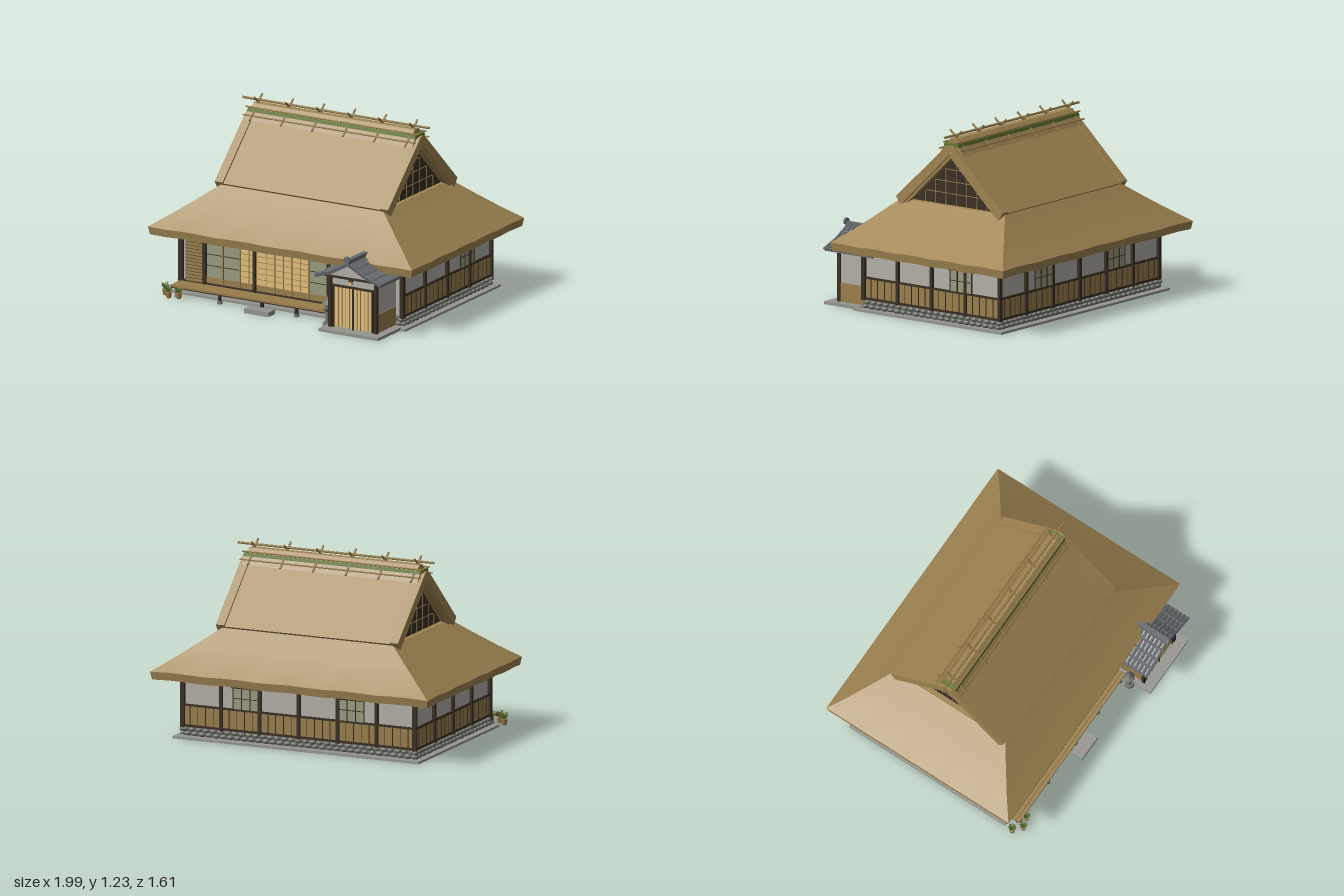
import * as THREE from 'three';
import { mergeGeometries, toCreasedNormals } from 'three/addons/utils/BufferGeometryUtils.js';

const mat = (name, color) => Object.assign(new THREE.MeshStandardMaterial({ color }), { name });

export function createModel() {
  const M = {
    thatch: mat('thatch', 0xa08552), dark: mat('dark timber', 0x3a2f24), wood: mat('wood', 0x9a7f4c),
    plaster: mat('plaster', 0xb4b0a8), paper: mat('pale wood and paper', 0xe2c07c), glass: mat('green glass', 0x9b9c80),
    tile: mat('roof tile', 0x686c70), stone: mat('stone', 0x72746c), slab: mat('paving', 0x96958f), moss: mat('moss', 0x647a30),
  };
  const model = new THREE.Group();
  model.name = 'farmhouse';
  const CZ = -0.09; // ridge line and house centre in z

  const group = (name) => {
    const g = new THREE.Group();
    g.name = name;
    model.add(g);
    return g;
  };
  const add = (g, name, m, geo) => {
    const mesh = new THREE.Mesh(geo, m);
    mesh.name = name;
    g.add(mesh);
    return mesh;
  };
  const box = (g, name, m, x0, x1, y0, y1, z0, z1) =>
    add(g, name, m, new THREE.BoxGeometry(x1 - x0, y1 - y0, z1 - z0)
      .translate((x0 + x1) / 2, (y0 + y1) / 2, (z0 + z1) / 2));
  const rod = (g, name, m, a, b, r, sides = 6) => {
    const p = new THREE.Vector3(...a), q = new THREE.Vector3(...b);
    const mesh = add(g, name, m, new THREE.CylinderGeometry(r, r, p.distanceTo(q), sides));
    mesh.position.copy(p).add(q).multiplyScalar(0.5);
    mesh.quaternion.setFromUnitVectors(new THREE.Vector3(0, 1, 0), q.sub(p).normalize());
    return mesh;
  };
  const shape = (pts) => new THREE.Shape(pts.map(([a, b]) => new THREE.Vector2(a, b)));
  // Section given as [z from ridge, y], swept along x
  const prism = (g, name, m, pts, x0, x1) =>
    add(g, name, m, new THREE.ExtrudeGeometry(shape(pts), { depth: x1 - x0, bevelEnabled: false })
      .rotateY(-Math.PI / 2).translate(x1, 0, CZ));

  // Paving and field-stone footing
  const base = group('base');
  box(base, 'house slab', M.slab, -0.885, 0.885, 0, 0.015, -0.7, 0.52);
  box(base, 'porch slab', M.slab, 0.395, 0.845, 0, 0.02, 0.5, 0.795);
  box(base, 'step stone', M.slab, -0.235, -0.05, 0, 0.03, 0.6, 0.685);
  box(base, 'footing', M.stone, -0.83, 0.83, 0.01, 0.08, -0.64, 0.46);
  const stones = [];
  const hash = (n) => Math.abs(Math.sin(n * 12.99) * 437.5) % 1;
  const stone = (x, y, z, alongX) => {
    const k = 0.85 + 0.25 * hash(stones.length + 1);
    stones.push(new THREE.IcosahedronGeometry(1, 1)
      .scale(alongX ? 0.025 * k : 0.018, 0.016 * k, alongX ? 0.018 : 0.025 * k).translate(x, y, z));
  };
  for (const row of [0, 1]) {
    const y = 0.032 + row * 0.028;
    for (let i = 0; i <= 32; i++) for (const z of [-0.645, 0.465]) stone(-0.83 + i * 0.051 + row * 0.02, y, z, true);
    for (let i = 0; i <= 21; i++) for (const x of [-0.84, 0.84]) stone(x, y, -0.635 + i * 0.052 - row * 0.012, false);
  }
  add(base, 'footing stones', M.stone, toCreasedNormals(mergeGeometries(stones), 0.8));

  // Walls: plaster core with boarded lower part, posts and rails
  const walls = group('walls');
  box(walls, 'plaster walls', M.plaster, -0.83, 0.83, 0.08, 0.45, -0.64, 0.46);
  for (const s of [-1, 1]) {
    const X = (a, b) => (s > 0 ? [a, b] : [-b, -a]);
    box(walls, 'side boards', M.wood, ...X(0.828, 0.836), 0.085, 0.22, -0.64, 0.46);
    for (const [y0, y1] of [[0.075, 0.09], [0.213, 0.226], [0.4, 0.42]])
      box(walls, 'side rail', M.dark, ...X(0.83, 0.843), y0, y1, -0.64, 0.46);
    for (let i = 0; i < 5; i++) box(walls, 'side post', M.dark, ...X(0.82, 0.85), 0.07, 0.45, -0.66 + i * 0.28, -0.64 + i * 0.28);
    for (let i = 1; i < 20; i++) box(walls, 'side batten', M.dark, ...X(0.83, 0.84), 0.085, 0.22, -0.652 + i * 0.056, -0.648 + i * 0.056);
  }
  box(walls, 'back boards', M.wood, -0.83, 0.83, 0.085, 0.22, -0.646, -0.638);
  for (const [y0, y1] of [[0.075, 0.09], [0.213, 0.226], [0.4, 0.42]])
    box(walls, 'back rail', M.dark, -0.83, 0.83, y0, y1, -0.653, -0.64);
  for (let i = 1; i < 6; i++) box(walls, 'back post', M.dark, -0.851 + i * 0.28, -0.829 + i * 0.28, 0.07, 0.45, -0.66, -0.63);
  for (let i = 1; i < 30; i++) box(walls, 'back batten', M.dark, -0.842 + i * 0.056, -0.838 + i * 0.056, 0.085, 0.22, -0.65, -0.64);

  // Latticed windows, built facing +z and turned into place
  for (const [x, z, turn] of [[0.38, -0.646, Math.PI], [-0.38, -0.646, Math.PI], [0.836, -0.335, Math.PI / 2]]) {
    const w = group('window');
    box(w, 'pane', M.glass, -0.09, 0.09, 0.226, 0.37, 0, 0.006);
    for (let i = 0; i < 4; i++) box(w, 'bar', M.dark, -0.092 + i * 0.06, -0.088 + i * 0.06, 0.226, 0.37, 0.004, 0.014);
    box(w, 'cross bar', M.dark, -0.09, 0.09, 0.296, 0.3, 0.004, 0.012);
    box(w, 'lintel', M.dark, -0.1, 0.1, 0.366, 0.378, 0, 0.02);
    w.position.set(x, 0, z);
    w.rotation.y = turn;
  }

  // Front: sliding screens, glass doors and shutter
  const front = group('front screens');
  box(front, 'transom', M.glass, -0.82, 0.42, 0.38, 0.43, 0.458, 0.466);
  box(front, 'lower boards', M.wood, -0.65, 0.42, 0.085, 0.13, 0.458, 0.468);
  for (const [a, b, m] of [[-0.65, -0.39, M.glass], [-0.39, 0.13, M.paper], [0.13, 0.42, M.glass]])
    box(front, 'screen', m, a, b, 0.13, 0.365, 0.458, 0.466);
  box(front, 'head beam', M.dark, -0.84, 0.43, 0.362, 0.378, 0.46, 0.485);
  box(front, 'sill', M.dark, -0.84, 0.43, 0.078, 0.09, 0.46, 0.478);
  for (const x of [-0.84, -0.655, -0.28, 0.28, 0.395, 0.84]) box(front, 'post', M.dark, x - 0.01, x + 0.01, 0.07, 0.44, 0.455, 0.485);
  for (const x of [-0.52, -0.39, -0.13, 0, 0.13]) box(front, 'stile', M.wood, x - 0.004, x + 0.004, 0.09, 0.365, 0.46, 0.474);
  for (const y of [0.21, 0.285]) for (const [a, b] of [[-0.65, -0.39], [0.13, 0.4]])
    box(front, 'glass bar', M.dark, a, b, y - 0.002, y + 0.002, 0.46, 0.47);
  for (let i = 1; i < 6; i++) box(front, 'paper bar', M.wood, -0.39, 0.13, 0.129 + i * 0.039, 0.132 + i * 0.039, 0.46, 0.47);
  for (const x of [-0.325, -0.195, -0.065, 0.065]) box(front, 'paper stile', M.wood, x - 0.0015, x + 0.0015, 0.13, 0.365, 0.46, 0.469);
  box(front, 'shutter back', M.dark, -0.8, -0.665, 0.085, 0.375, 0.458, 0.475);
  for (let i = 0; i < 13; i++) box(front, 'shutter slat', M.wood, -0.795, -0.67, 0.09 + i * 0.022, 0.105 + i * 0.022, 0.47, 0.486);

  // Veranda
  const veranda = group('veranda');
  for (let i = 0; i < 5; i++) box(veranda, 'plank', M.wood, -0.84, 0.4, 0.066, 0.08, 0.472 + i * 0.026, 0.496 + i * 0.026);
  box(veranda, 'edge beam', M.dark, -0.84, 0.4, 0.056, 0.067, 0.575, 0.59);
  for (const x of [-0.8, -0.48, -0.16, 0.1, 0.36]) {
    box(veranda, 'leg', M.dark, x - 0.009, x + 0.009, 0.015, 0.066, 0.57, 0.588);
    add(veranda, 'leg stone', M.stone, new THREE.CylinderGeometry(0.016, 0.02, 0.02, 8)).position.set(x, 0.01, 0.579);
  }

  // Lower hipped thatch: rectangular rings from the underside, round the eave and up
  const roof = group('thatched roof');
  const rings = [[0.8, 0.52, 0.435], [0.988, 0.703, 0.403], [0.997, 0.713, 0.456], [0.87, 0.614, 0.541], [0.74, 0.52, 0.633], [0.615, 0.43, 0.725]];
  const corners = [[1, 1], [1, -1], [-1, -1], [-1, 1]], N = 16, verts = [], index = [], loop = 4 * N;
  rings.forEach(([hx, hz, y], r) => {
    for (let i = 0; i < loop; i++) {
      const a = corners[Math.floor(i / N)], b = corners[(Math.floor(i / N) + 1) % 4], t = (i % N) / N;
      const wave = r > 0 && r < 3 ? 0.003 * Math.sin(i * 1.9) : 0;
      verts.push(hx * (a[0] + (b[0] - a[0]) * t), y + wave, CZ + hz * (a[1] + (b[1] - a[1]) * t));
      const p = r * loop + i, q = r * loop + (i + 1) % loop;
      if (r < rings.length - 1) index.push(p, q, q + loop, p, q + loop, p + loop);
    }
  });
  const skirt = new THREE.BufferGeometry();
  skirt.setAttribute('position', new THREE.Float32BufferAttribute(verts, 3));
  skirt.setIndex(index);
  add(roof, 'hipped skirt', M.thatch, toCreasedNormals(skirt, 0.15));
  box(roof, 'skirt top', M.thatch, -0.612, 0.612, 0.7, 0.724, CZ - 0.427, CZ + 0.427);

  // Upper gabled thatch with thick rolled ends
  for (const s of [-1, 1]) {
    prism(roof, 'upper slope', M.thatch, [[0, 1.06], [0, 1.122], [s * 0.03, 1.115], [s * 0.432, 0.735], [s * 0.39, 0.69]], -0.62, 0.62);
    for (const e of [-1, 1]) {
      const X = (a, b) => (e > 0 ? [a, b] : [-b, -a]);
      prism(roof, 'gable roll', M.thatch, [[0, 1.075], [0, 1.135], [s * 0.03, 1.128], [s * 0.44, 0.745], [s * 0.405, 0.69]], ...X(0.595, 0.655));
      prism(roof, 'gable board', M.wood, [[0, 1.05], [0, 1.08], [s * 0.4, 0.7], [s * 0.37, 0.7]], ...X(0.6, 0.64));
    }
  }
  // Latticed gable walls
  for (const e of [-1, 1]) {
    const X = (a, b) => (e > 0 ? [a, b] : [-b, -a]);
    prism(roof, 'gable wall', M.dark, [[-0.37, 0.71], [0.37, 0.71], [0, 1.075]], ...X(0.56, 0.58));
    for (let i = -3; i <= 3; i++) {
      const z = CZ + i * 0.085;
      box(roof, 'gable bar', M.wood, ...X(0.578, 0.584), 0.72, 1.05 - Math.abs(i) * 0.085, z - 0.002, z + 0.002);
    }
    for (let i = 1; i < 4; i++) {
      const y = 0.72 + i * 0.08, w = 1.05 - y;
      box(roof, 'gable cross bar', M.wood, ...X(0.578, 0.584), y - 0.002, y + 0.002, CZ - w, CZ + w);
    }
  }

  // Ridge: layered cap, moss, poles and crossed timbers
  const ridge = group('ridge');
  prism(ridge, 'ridge cap', M.thatch, [[-0.095, 1.075], [0, 1.11], [0.095, 1.075], [0.058, 1.13], [-0.058, 1.13]], -0.63, 0.63);
  prism(ridge, 'moss band', M.moss, [[-0.062, 1.126], [0.062, 1.126], [0.056, 1.148], [-0.056, 1.148]], -0.635, 0.635);
  prism(ridge, 'ridge top', M.thatch, [[-0.052, 1.148], [0.052, 1.148], [0.024, 1.177], [-0.024, 1.177]], -0.61, 0.61);
  rod(ridge, 'ridge pole', M.wood, [-0.705, 1.197, CZ], [0.705, 1.197, CZ], 0.008);
  for (const s of [-1, 1]) {
    for (const [z, y] of [[0.088, 1.108], [0.052, 1.155]])
      rod(ridge, 'side pole', M.wood, [-0.65, y, CZ + s * z], [0.65, y, CZ + s * z], 0.005);
    for (let i = 0; i < 6; i++) {
      const x = -0.588 + i * 0.2345 + s * 0.002;
      rod(ridge, 'crossed timber', M.wood, [x, 1.225, CZ - s * 0.048], [x, 1.08, CZ + s * 0.112], 0.008, 4);
    }
  }

  // Entrance porch
  const porch = group('porch'), PX = 0.61;
  box(porch, 'porch walls', M.plaster, 0.44, 0.78, 0.02, 0.37, 0.46, 0.71);
  add(porch, 'porch gable', M.plaster, new THREE.ExtrudeGeometry(
    shape([[-0.2, 0.365], [0.2, 0.365], [0, 0.465]]), { depth: 0.33, bevelEnabled: false }).translate(PX, 0, 0.4));
  for (const s of [-1, 1]) {
    const X = (a, b) => (s > 0 ? [PX + a, PX + b] : [PX - b, PX - a]);
    box(porch, 'porch side boards', M.wood, ...X(0.165, 0.176), 0.02, 0.145, 0.47, 0.71);
    box(porch, 'porch post', M.dark, ...X(0.162, 0.184), 0.02, 0.37, 0.705, 0.727);
    // Roof slope with tile ribs
    const slope = [[0, 0.49], [0.12, 0.42], [0.245, 0.375], [0.245, 0.358], [0.12, 0.4], [0, 0.465]];
    add(porch, 'porch roof slope', M.tile, new THREE.ExtrudeGeometry(
      shape(slope.map(([x, y]) => [s * x, y])), { depth: 0.4, bevelEnabled: false }).translate(PX, 0, 0.385));
    for (let i = 0; i < 14; i++) {
      const z = 0.392 + i * 0.03;
      rod(porch, 'tile rib', M.tile, [PX, 0.49, z], [PX + s * 0.122, 0.42, z], 0.009);
      rod(porch, 'tile rib', M.tile, [PX + s * 0.118, 0.421, z], [PX + s * 0.25, 0.373, z], 0.009);
    }
    for (const [x, y] of [[0.06, 0.457], [0.12, 0.422], [0.185, 0.399], [0.243, 0.375]])
      rod(porch, 'tile course', M.tile, [PX + s * x, y, 0.385], [PX + s * x, y, 0.79], 0.007);
  }
  box(porch, 'porch beam', M.dark, 0.4, 0.82, 0.36, 0.375, 0.705, 0.735);
  box(porch, 'porch ridge', M.tile, PX - 0.017, PX + 0.017, 0.47, 0.512, 0.37, 0.795);
  add(porch, 'ridge end tile', M.tile, new THREE.CylinderGeometry(0.024, 0.024, 0.016, 8).rotateX(Math.PI / 2)).position.set(PX, 0.513, 0.795);
  box(porch, 'door', M.paper, 0.465, 0.757, 0.025, 0.3, 0.705, 0.716);
  for (let i = 0; i < 11; i++) box(porch, 'door bar', M.wood, 0.469 + i * 0.028, 0.473 + i * 0.028, 0.025, 0.3, 0.71, 0.721);
  for (const x of [0.462, PX, 0.758]) box(porch, 'door frame', M.dark, x - 0.004, x + 0.004, 0.02, 0.305, 0.705, 0.724);
  box(porch, 'door lintel', M.dark, 0.455, 0.765, 0.298, 0.31, 0.705, 0.726);
  box(porch, 'lamp', M.paper, PX - 0.011, PX + 0.011, 0.33, 0.355, 0.735, 0.757);
  box(porch, 'lamp cap', M.dark, PX - 0.014, PX + 0.014, 0.355, 0.361, 0.732, 0.76);

  // Stone lantern
  const lantern = group('stone lantern');
  for (const [rt, rb, y0, y1] of [[0.028, 0.034, 0, 0.025], [0.014, 0.016, 0.025, 0.095], [0.03, 0.018, 0.095, 0.112],
    [0.021, 0.021, 0.112, 0.147], [0.012, 0.04, 0.147, 0.175], [0.003, 0.011, 0.175, 0.2]])
    add(lantern, 'lantern stone', M.stone, toCreasedNormals(new THREE.CylinderGeometry(rt, rb, y1 - y0, 6), 0.5)).position.y = (y0 + y1) / 2;
  lantern.position.set(0.375, 0, 0.645);

  // Potted plants
  for (const [x, z, k] of [[-0.89, 0.58, 1], [-0.835, 0.63, 0.95], [-0.77, 0.61, 0.95]]) {
    const plant = group('potted plant');
    add(plant, 'pot', M.wood, new THREE.CylinderGeometry(0.022, 0.016, 0.038, 10)).position.y = 0.019;
    for (let i = 0; i < 9; i++) {
      const a = i * 0.7;
      rod(plant, 'leaf', M.moss, [0, 0.032, 0], [0.024 * Math.cos(a), 0.068 + 0.005 * (i % 4), 0.024 * Math.sin(a)], 0.005, 4);
    }
    plant.position.set(x, 0, z);
    plant.scale.setScalar(k);
  }
  return model;
}
